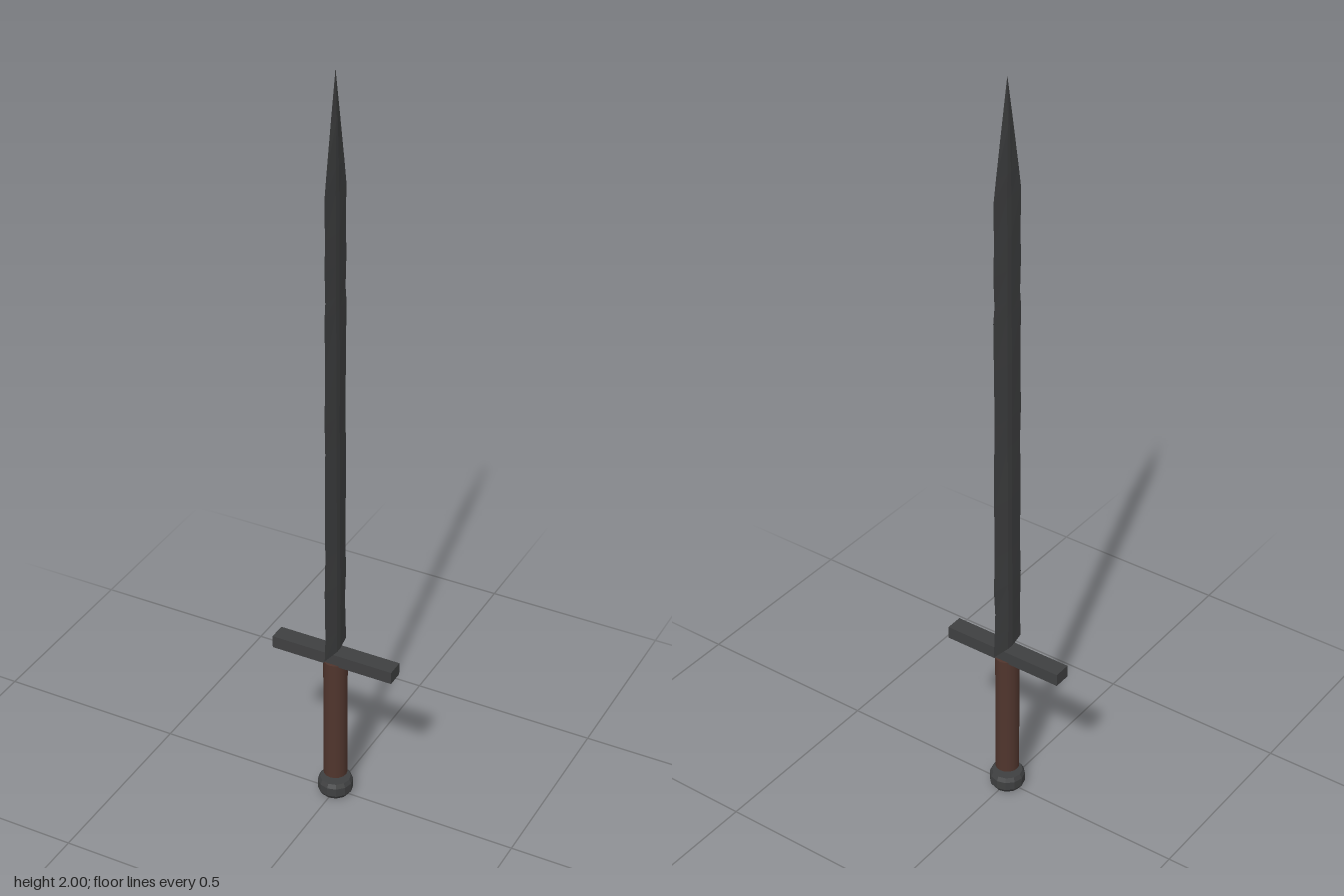
import * as THREE from 'three';

const mat = (name, color) => {
  const m = new THREE.MeshStandardMaterial({ color });
  m.name = name;
  return m;
};

// Blade: hexagonal cross-sections [y, front edge, back edge, half thickness], lofted to a point
function bladeGeometry(rows) {
  const rings = rows.map(([y, f, b, t]) => [
    [0, y, f], [t, y, f * 0.16], [t, y, -b * 0.16],
    [0, y, -b], [-t, y, -b * 0.16], [-t, y, f * 0.16],
  ]);
  const pos = [];
  const tri = (a, b, c) => pos.push(...a, ...b, ...c);
  for (let i = 0; i < rings.length - 1; i++) {
    const lo = rings[i], hi = rings[i + 1];
    for (let k = 0; k < 6; k++) {
      const n = (k + 1) % 6;
      tri(lo[k], lo[n], hi[n]);
      tri(lo[k], hi[n], hi[k]);
    }
  }
  // Base cap
  for (let k = 1; k < 5; k++) tri(rings[0][0], rings[0][k + 1], rings[0][k]);
  const g = new THREE.BufferGeometry();
  g.setAttribute('position', new THREE.Float32BufferAttribute(pos, 3));
  g.computeVertexNormals();
  return g;
}

export function createModel() {
  const group = new THREE.Group();
  const steel = mat('dark steel', 0x3f4041);
  const leather = mat('brown leather', 0x50352d);
  const add = (name, geometry, material, y) => {
    const mesh = new THREE.Mesh(geometry, material);
    mesh.name = name;
    mesh.position.y = y;
    group.add(mesh);
  };

  // Worn edges wander slightly along the blade
  const rows = [
    [0.45, 0.058, 0.058, 0.009],
    [0.51, 0.054, 0.054, 0.009],
    [0.58, 0.055, 0.051, 0.009],
    [0.65, 0.057, 0.056, 0.009],
    [0.75, 0.053, 0.053, 0.008],
    [0.90, 0.055, 0.054, 0.008],
    [1.05, 0.052, 0.053, 0.007],
    [1.13, 0.055, 0.051, 0.007],
    [1.28, 0.052, 0.053, 0.007],
    [1.41, 0.054, 0.055, 0.006],
    [1.45, 0.050, 0.050, 0.006],
    [1.53, 0.053, 0.054, 0.006],
    [1.61, 0.051, 0.051, 0.006],
    [1.71, 0.053, 0.053, 0.005],
    [1.77, 0.043, 0.043, 0.005],
    [1.88, 0.023, 0.023, 0.004],
    [2.00, 0.0005, 0.0005, 0.0005],
  ];
  add('blade', bladeGeometry(rows), steel, 0);

  // Crossguard
  add('crossguard', new THREE.BoxGeometry(0.334, 0.034, 0.046), steel, 0.432);

  // Grip
  add('grip', new THREE.CylinderGeometry(0.031, 0.031, 0.357, 16), leather, 0.2405);

  // Faceted pommel with chamfered rims, set just below the grip
  const profile = [[0, 0], [0.038, 0], [0.046, 0.012], [0.046, 0.036], [0.04, 0.047], [0, 0.047]]
    .map(([x, y]) => new THREE.Vector2(x, y));
  const pommel = new THREE.LatheGeometry(profile, 12).toNonIndexed();
  pommel.computeVertexNormals();
  add('pommel', pommel, steel, 0);

  return group;
}
